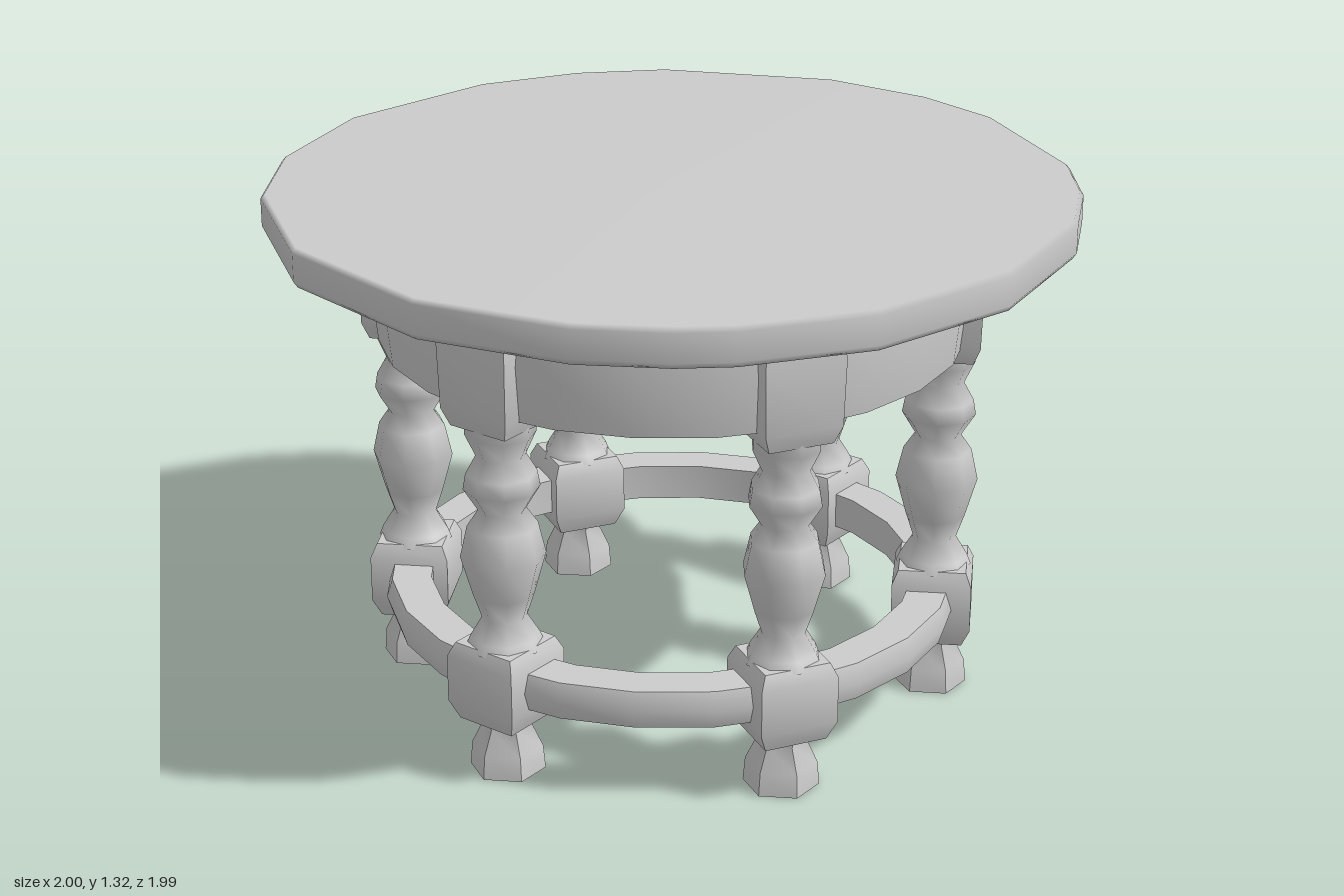
import * as THREE from 'three';
import { mergeVertices, toCreasedNormals } from 'three/addons/utils/BufferGeometryUtils.js';

const material = new THREE.MeshStandardMaterial({ color: 0xcccccc });
const LEGS = 6;
const LEG_RADIUS = 0.67; // distance of the legs from the middle

// Lathe from [radius, height] pairs; y rises along the outer side
function turned(profile, sides, phase = 0) {
  const points = profile.map(([r, y]) => new THREE.Vector2(r, y));
  return new THREE.LatheGeometry(points, sides, phase);
}

function part(name, geometry) {
  const mesh = new THREE.Mesh(geometry, material);
  mesh.name = name;
  return mesh;
}

// Square block from [half width, height] pairs, with crisp edges
function block(name, profile) {
  const rows = profile.map(([h, y]) => [h * Math.SQRT2, y]);
  return part(name, toCreasedNormals(turned(rows, 4, Math.PI / 4), 0.8));
}

// Curved rail running all round through the legs
function ringRail(name, inner, outer, bottom, top) {
  const middle = (bottom + top) / 2;
  const profile = [
    [inner, bottom], [outer - 0.015, bottom], [outer, middle],
    [outer - 0.015, top], [inner, top], [inner, bottom],
  ];
  return part(name, toCreasedNormals(turned(profile, LEGS * 4), 0.8));
}

// Round top with slightly uneven facets and soft shading
function tableTop() {
  const angles = [2, 24, 37, 45, 64, 87, 110, 123, 135, 160, 174, 191, 218, 232, 248, 274, 295, 312, 336];
  const sides = angles.length;
  const profile = [[0, 1.225], [0.99, 1.225], [1, 1.24], [1, 1.31], [0.99, 1.322], [0, 1.322]];
  let geometry = turned(profile, sides);
  const pos = geometry.attributes.position;
  for (let i = 0; i < pos.count; i++) {
    const side = Math.floor(i / profile.length) % sides;
    const [r, y] = profile[i % profile.length];
    const a = THREE.MathUtils.degToRad(angles[side]);
    pos.setXYZ(i, r * Math.sin(a), y, r * Math.cos(a));
  }
  geometry.deleteAttribute('uv');
  geometry.deleteAttribute('normal');
  geometry = mergeVertices(geometry);
  geometry.computeVertexNormals();
  return part('tableTop', geometry);
}

function leg() {
  const group = new THREE.Group();
  group.name = 'leg';
  group.add(
    // flared foot
    part('foot', toCreasedNormals(turned(
      [[0, 0], [0.093, 0], [0.088, 0.06], [0.06, 0.12], [0.07, 0.16]], 6), 0.9)),
    block('lowerBlock', [[0, 0.14], [0.08, 0.14], [0.1, 0.19], [0.1, 0.31], [0.085, 0.345], [0, 0.345]]),
    // turned baluster
    part('baluster', turned([
      [0.095, 0.335], [0.085, 0.36], [0.055, 0.41], [0.075, 0.47], [0.103, 0.57], [0.085, 0.65],
      [0.058, 0.69], [0.092, 0.745], [0.085, 0.785], [0.06, 0.83], [0.085, 0.885], [0.085, 0.93],
    ], 8)),
    block('upperBlock', [[0, 0.91], [0.082, 0.91], [0.098, 0.955], [0.102, 1.12], [0.092, 1.228], [0, 1.228]]),
  );
  return group;
}

export function createModel() {
  const model = new THREE.Group();
  model.name = 'roundTable';
  model.add(tableTop());
  model.add(ringRail('apron', 0.625, 0.745, 0.95, 1.23));
  model.add(ringRail('stretcher', 0.62, 0.735, 0.2, 0.295));
  for (let i = 0; i < LEGS; i++) {
    const a = (i / LEGS) * Math.PI * 2;
    const l = leg();
    l.position.set(LEG_RADIUS * Math.sin(a), 0, LEG_RADIUS * Math.cos(a));
    l.rotation.y = a;
    model.add(l);
  }
  return model;
}
